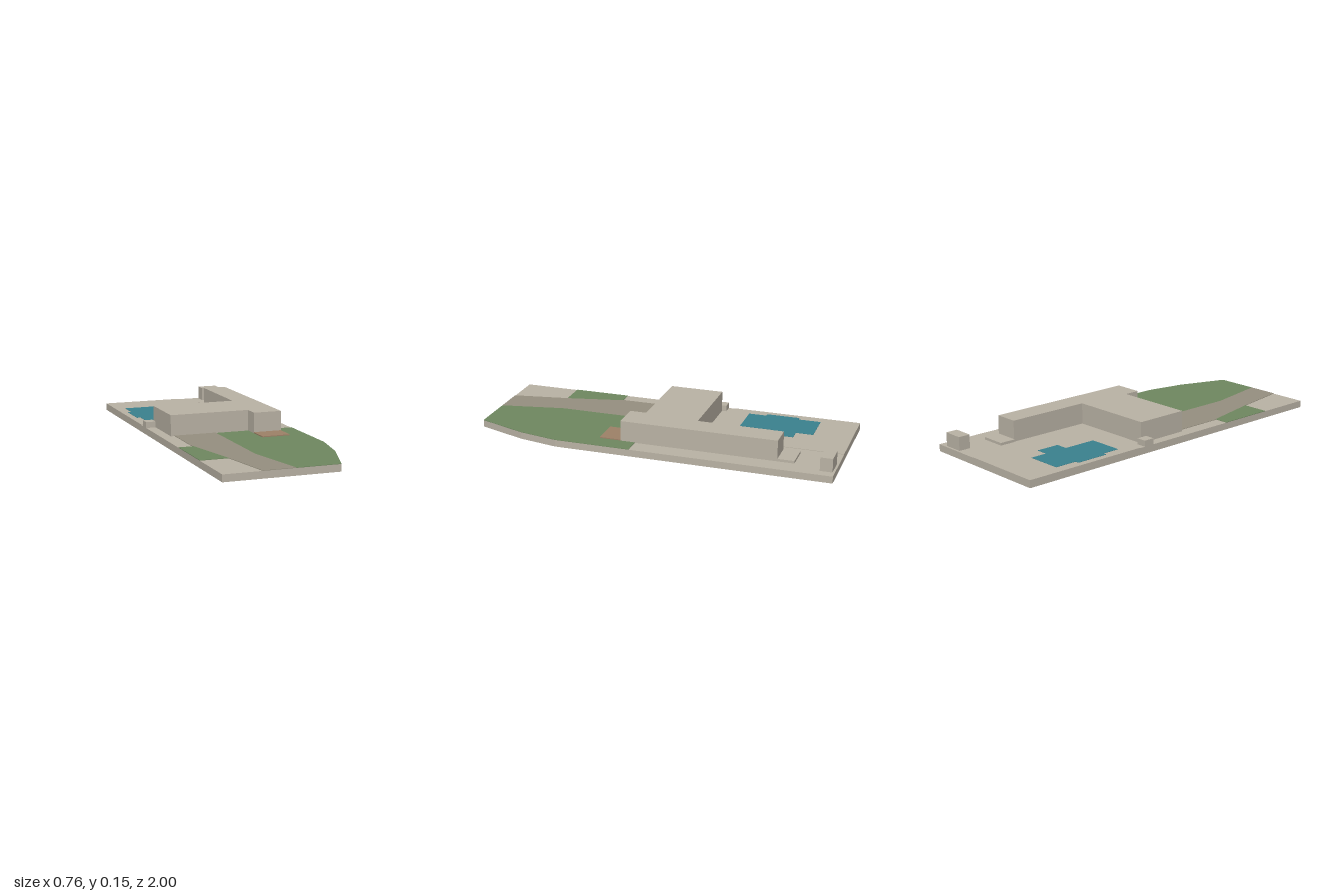
import * as THREE from 'three';

const mat = (name, color) => {
  const m = new THREE.MeshStandardMaterial({ color });
  m.name = name;
  return m;
};

export function createModel() {
  const group = new THREE.Group();
  const stone = mat('stone', 0xbab3a5);
  const paving = mat('drivewayPaving', 0x969080);
  const grass = mat('grass', 0x6f8860);
  const water = mat('poolWater', 0x3a818e);
  const timber = mat('porchTimber', 0x9e8268);

  // Extrudes a plan outline of [x, z] points between two heights
  const slab = (name, material, y0, y1, points) => {
    const shape = new THREE.Shape(points.map(([x, z]) => new THREE.Vector2(x, -z)));
    const geo = new THREE.ExtrudeGeometry(shape, { depth: y1 - y0, bevelEnabled: false });
    geo.rotateX(-Math.PI / 2).translate(0, y0, 0);
    const mesh = new THREE.Mesh(geo, material);
    mesh.name = name;
    group.add(mesh);
  };
  const rect = (x0, x1, z0, z1) => [[x0, z0], [x0, z1], [x1, z1], [x1, z0]];

  // Ground: plot with a tapered front corner
  const G = 0.038, P = 0.0405;
  const taper = [[0.378, 0.51], [0.335, 0.73], [0.238, 1]];
  slab('plotBase', stone, 0, G, [[-0.378, -1], [0.378, -1], ...taper, [-0.378, 1]]);
  slab('poolTerrace', stone, G, P, rect(-0.378, 0.083, -1, -0.28));

  // Driveway and lawns
  slab('driveway', paving, G, P, [[-0.302, 0.08], [-0.068, 0.08], [-0.068, 0.65], [0, 1],
    [-0.173, 1], [-0.227, 0.69], [-0.297, 0.37], [-0.302, 0.37]]);
  slab('mainLawn', grass, G, P, [[-0.068, 0.09], [0.378, 0.09], ...taper, [0, 1], [-0.068, 0.65]]);
  slab('sideLawn', grass, G, P, [[-0.378, 0.37], [-0.297, 0.37], [-0.227, 0.69], [-0.378, 0.69]]);

  // Stepped pool
  slab('pool', water, P, 0.042, [[-0.32, -0.79], [-0.125, -0.79], [-0.125, -0.695], [-0.057, -0.695],
    [-0.057, -0.565], [-0.125, -0.565], [-0.125, -0.38], [-0.32, -0.38], [-0.32, -0.48],
    [-0.342, -0.48], [-0.342, -0.665], [-0.32, -0.665]]);

  // House and its small additions
  slab('house', stone, G, 0.153, [[-0.323, -0.22], [0.147, -0.22], [0.147, -0.69], [0.279, -0.69],
    [0.279, 0.17], [0.121, 0.17], [0.121, 0.08], [-0.323, 0.08]]);
  slab('frontPorch', timber, G, 0.046, rect(0.121, 0.279, 0.17, 0.29));
  slab('backStep', stone, G, 0.052, rect(0.142, 0.279, -0.78, -0.69));
  slab('utilityBox', stone, G, 0.071, rect(-0.378, -0.323, -0.245, -0.185));
  slab('shed', stone, G, 0.112, rect(0.217, 0.328, -0.988, -0.922));

  return group;
}
